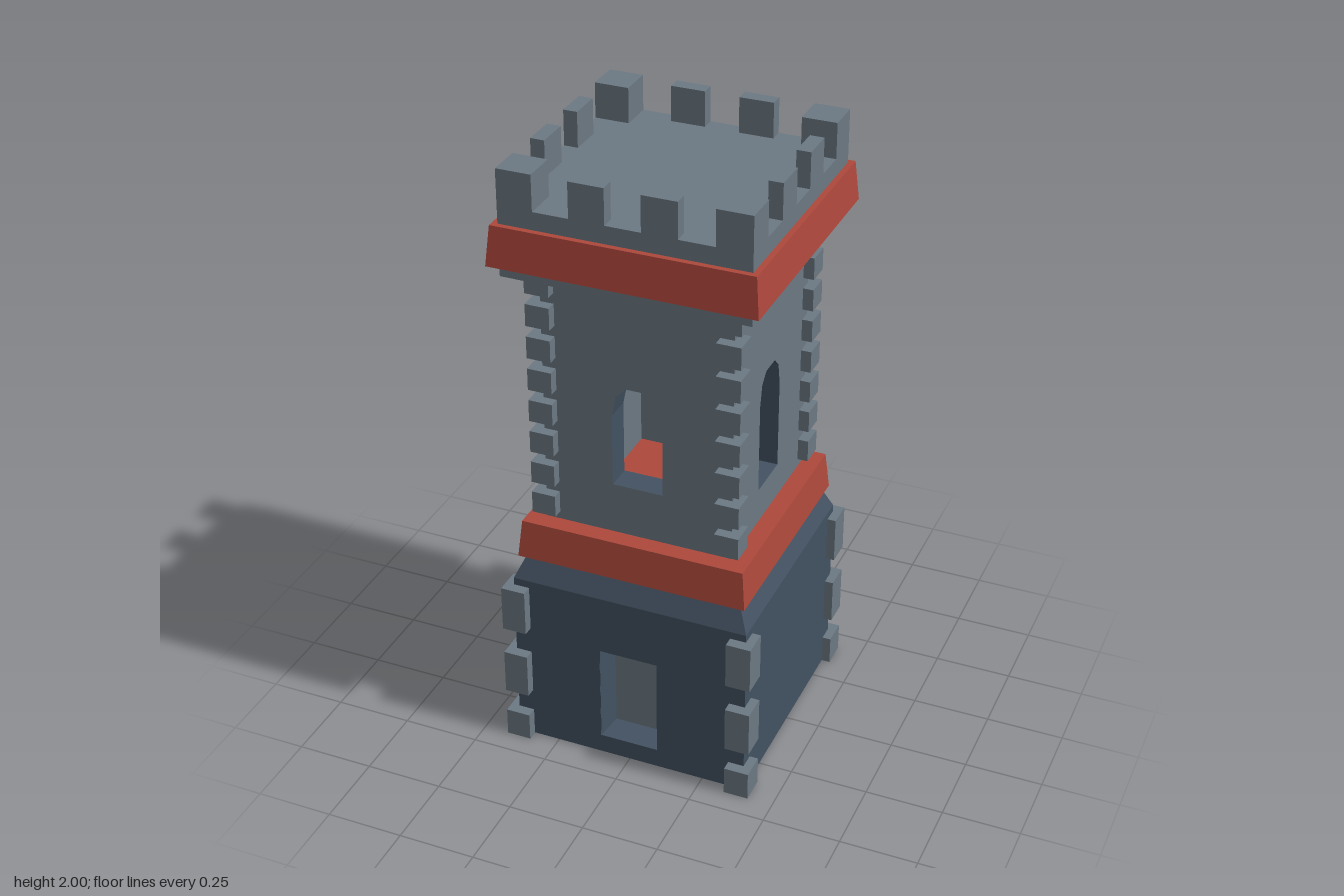
import * as THREE from 'three';

const mat = (name, color) => {
  const m = new THREE.MeshStandardMaterial({ color });
  m.name = name;
  return m;
};

export function createModel() {
  const stone = mat('grey stone', 0x6b7883);
  const slate = mat('dark slate', 0x425161);
  const red = mat('red trim', 0xae483c);
  const model = new THREE.Group();

  const add = (name, geo, material, x = 0, y = 0, z = 0, parent = model) => {
    const mesh = new THREE.Mesh(geo, material);
    mesh.name = name;
    mesh.position.set(x, y, z);
    parent.add(mesh);
    return mesh;
  };
  // Box given by its limits
  const block = (name, material, x0, x1, y0, y1, z0, z1, parent) =>
    add(name, new THREE.BoxGeometry(x1 - x0, y1 - y0, z1 - z0), material,
      (x0 + x1) / 2, (y0 + y1) / 2, (z0 + z1) / 2, parent);
  // Move every vertex by a rule, keeping faces flat
  const bend = (geo, rule) => {
    const p = geo.attributes.position;
    const v = new THREE.Vector3();
    for (let i = 0; i < p.count; i++) {
      rule(v.fromBufferAttribute(p, i));
      p.setXYZ(i, v.x, v.y, v.z);
    }
    geo.computeVertexNormals();
    return geo;
  };
  // Square block with different half widths at bottom and top
  const tapered = (name, material, y0, y1, bottom, top) => add(name,
    bend(new THREE.BoxGeometry(2, y1 - y0, 2), v => {
      const h = v.y > 0 ? top : bottom;
      v.x *= h;
      v.z *= h;
    }), material, 0, (y0 + y1) / 2, 0);
  const outline = pts => pts.map(([x, y]) => new THREE.Vector2(x, y));
  const rect = (x0, x1, y0, y1) => outline([[x0, y0], [x1, y0], [x1, y1], [x0, y1]]);
  const pierced = (outer, hole, depth) => {
    const shape = new THREE.Shape(outer);
    shape.holes.push(new THREE.Path(hole));
    return new THREE.ExtrudeGeometry(shape, { depth, bevelEnabled: false });
  };
  const corners = [[1, 1], [1, -1], [-1, 1], [-1, -1]];
  // A stone at each of the four corners
  const cornerStones = (name, inner, outerX, outerZ, y0, y1) => {
    for (const [sx, sz] of corners) {
      add(name, new THREE.BoxGeometry(outerX - inner, y1 - y0, outerZ - inner), stone,
        sx * (inner + outerX) / 2, (y0 + y1) / 2, sz * (inner + outerZ) / 2);
    }
  };

  // Base with a recessed doorway in front
  block('baseBody', slate, -0.39, 0.39, 0, 0.6, -0.39, 0.29);
  add('baseFront', pierced(rect(-0.39, 0.39, 0, 0.6), rect(-0.1, 0.095, 0.065, 0.4), 0.1),
    slate, 0, 0, 0.29);
  block('door', stone, -0.1, 0.095, 0.065, 0.4, 0.29, 0.295);
  for (const s of [-1, 1]) {
    // Door jambs narrow towards the door
    const jamb = bend(new THREE.BoxGeometry(0.012, 0.335, 0.098), v => {
      if (v.z > 0 && v.x * s < 0) v.x = s * 0.005;
    });
    add('doorJamb', jamb, slate, s * 0.0915 - 0.0025, 0.2325, 0.34);
  }
  tapered('baseSlope', slate, 0.6, 0.68, 0.39, 0.355);
  for (const [y0, y1] of [[0, 0.095], [0.175, 0.327], [0.42, 0.575]]) {
    cornerStones('baseCornerStone', 0.338, 0.418, 0.425, y0, y1);
  }
  tapered('lowerTrim', red, 0.68, 0.805, 0.377, 0.365);

  // Hollow shaft: four mitred walls, each with an arched window
  const half = 0.306, thick = 0.085;
  const sills = [0.975, 0.92, 0.92, 0.92];
  const shifts = [0, -0.007, 0, 0.007];
  const names = ['frontWall', 'leftWall', 'backWall', 'rightWall'];
  names.forEach((name, i) => {
    const arch = [[-0.082, sills[i]], [0.082, sills[i]], [0.082, 1.215], [0.068, 1.285],
      [0.035, 1.317], [-0.035, 1.317], [-0.068, 1.285], [-0.082, 1.215]];
    const hole = outline(arch.map(([x, y]) => [x + shifts[i], y]));
    const geo = bend(pierced(rect(-half, half, 0.8, 1.67), hole, thick), v => {
      if (v.z < 0.01 && Math.abs(v.x) > 0.2) v.x -= Math.sign(v.x) * thick;
    });
    const wall = new THREE.Group();
    wall.name = name;
    wall.rotation.y = i * Math.PI / 2;
    add(name + 'Stone', geo, [stone, slate], 0, 0, half - thick, wall);
    model.add(wall);
  });
  for (let i = 0; i < 8; i++) {
    const y = 0.831 + i * 0.1085;
    cornerStones('shaftCornerStone', 0.262, 0.34, 0.34, y, y + 0.073);
  }

  // Overhanging roof platform and its red band
  block('roofPlatform', stone, -0.39, 0.39, 1.66, 1.885, -0.39, 0.39);
  tapered('upperTrim', red, 1.7, 1.828, 0.42, 0.408);

  // Battlements
  cornerStones('cornerMerlon', 0.279, 0.39, 0.39, 1.885, 2);
  for (let i = 0; i < 4; i++) {
    const side = new THREE.Group();
    side.name = 'battlementSide';
    side.rotation.y = i * Math.PI / 2;
    for (const s of [-1, 1]) {
      add('merlon', new THREE.BoxGeometry(0.111, 0.115, 0.045), stone,
        s * 0.111, 1.9425, 0.3675, side);
    }
    model.add(side);
  }
  return model;
}
